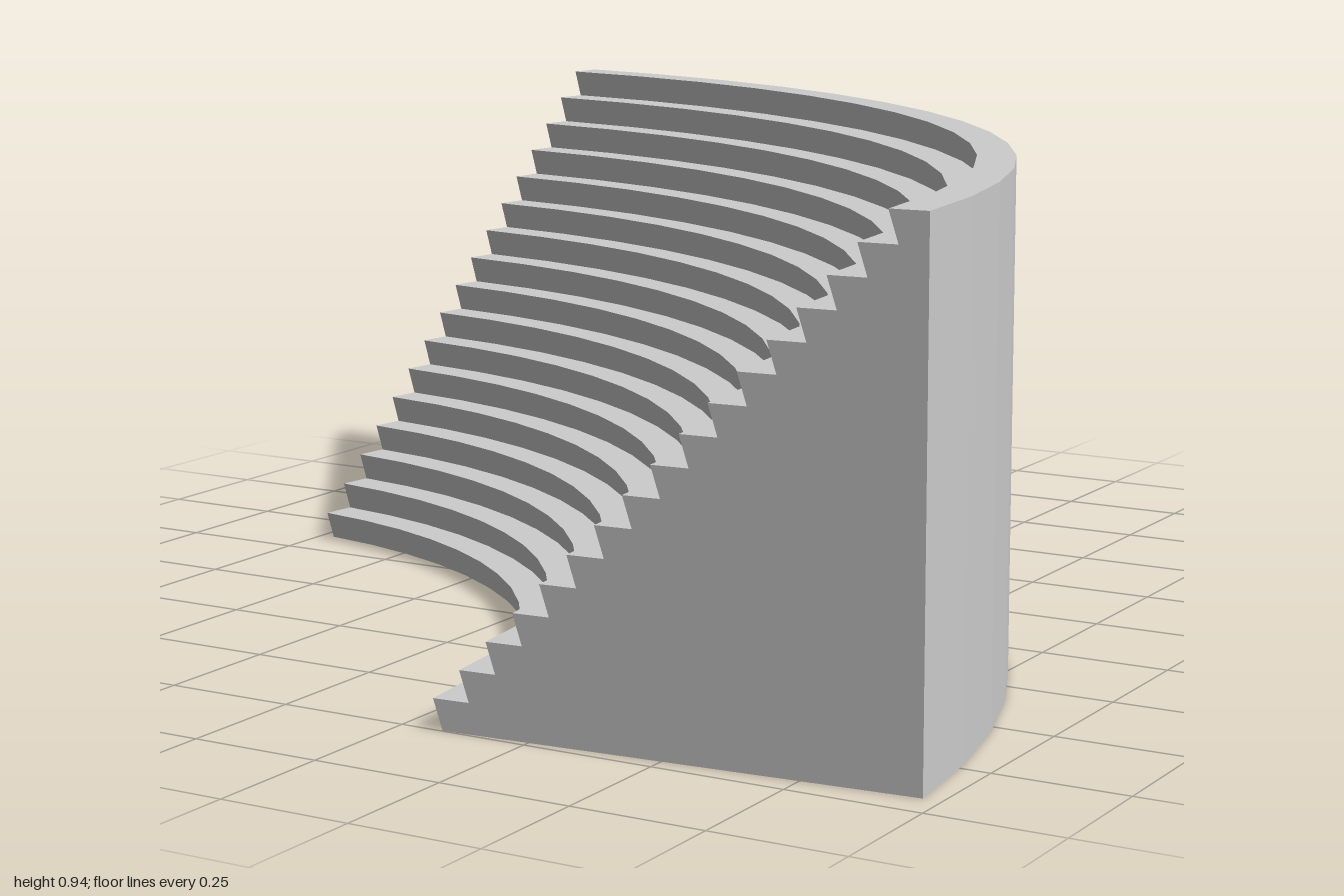
import * as THREE from 'three';

const ROWS = 17;
const INNER = 1.222, OUTER = 2.107, HEIGHT = 0.945;
const NOSING = 0.018;                    // how far each step edge overhangs its riser
const START = THREE.MathUtils.degToRad(94.4);
const SWEEP = THREE.MathUtils.degToRad(77.85);
const SEGMENTS = 14;

// Stepped cross-section (radius, height), counter-clockwise
function sectionPoints() {
  const run = (OUTER - INNER) / ROWS, rise = HEIGHT / ROWS;
  const points = [new THREE.Vector2(OUTER, 0), new THREE.Vector2(OUTER, HEIGHT)];
  for (let i = ROWS - 1; i >= 0; i--) {
    const r = INNER + i * run;
    points.push(new THREE.Vector2(r - NOSING, (i + 1) * rise)); // step edge
    points.push(new THREE.Vector2(r, i * rise));                // riser foot
  }
  return points;
}

export function createModel() {
  const model = new THREE.Group();
  model.name = 'curvedGrandstand';
  const material = new THREE.MeshStandardMaterial({ color: 0xcccccc, flatShading: true });
  const points = sectionPoints();

  // Arc centre, placed so the whole stand is centred on the origin
  const stand = new THREE.Group();
  stand.name = 'stand';
  stand.position.set(-1.135, 0, 1.092);
  model.add(stand);

  const add = (geometry, name) => {
    const mesh = new THREE.Mesh(geometry, material);
    mesh.name = name;
    stand.add(mesh);
    return mesh;
  };

  // Steps, back wall and underside swept around the arc
  add(new THREE.LatheGeometry([...points, points[0].clone()], SEGMENTS, START, SWEEP), 'steppedSeating');

  // Flat end walls
  const shape = new THREE.Shape(points);
  const leftEnd = add(new THREE.ShapeGeometry(shape), 'leftEndWall');
  leftEnd.rotation.y = START - Math.PI / 2;

  const reversed = new THREE.ShapeGeometry(shape);
  reversed.setIndex(Array.from(reversed.index.array).reverse());
  reversed.computeVertexNormals();
  const rightEnd = add(reversed, 'rightEndWall');
  rightEnd.rotation.y = START + SWEEP - Math.PI / 2;

  return model;
}
